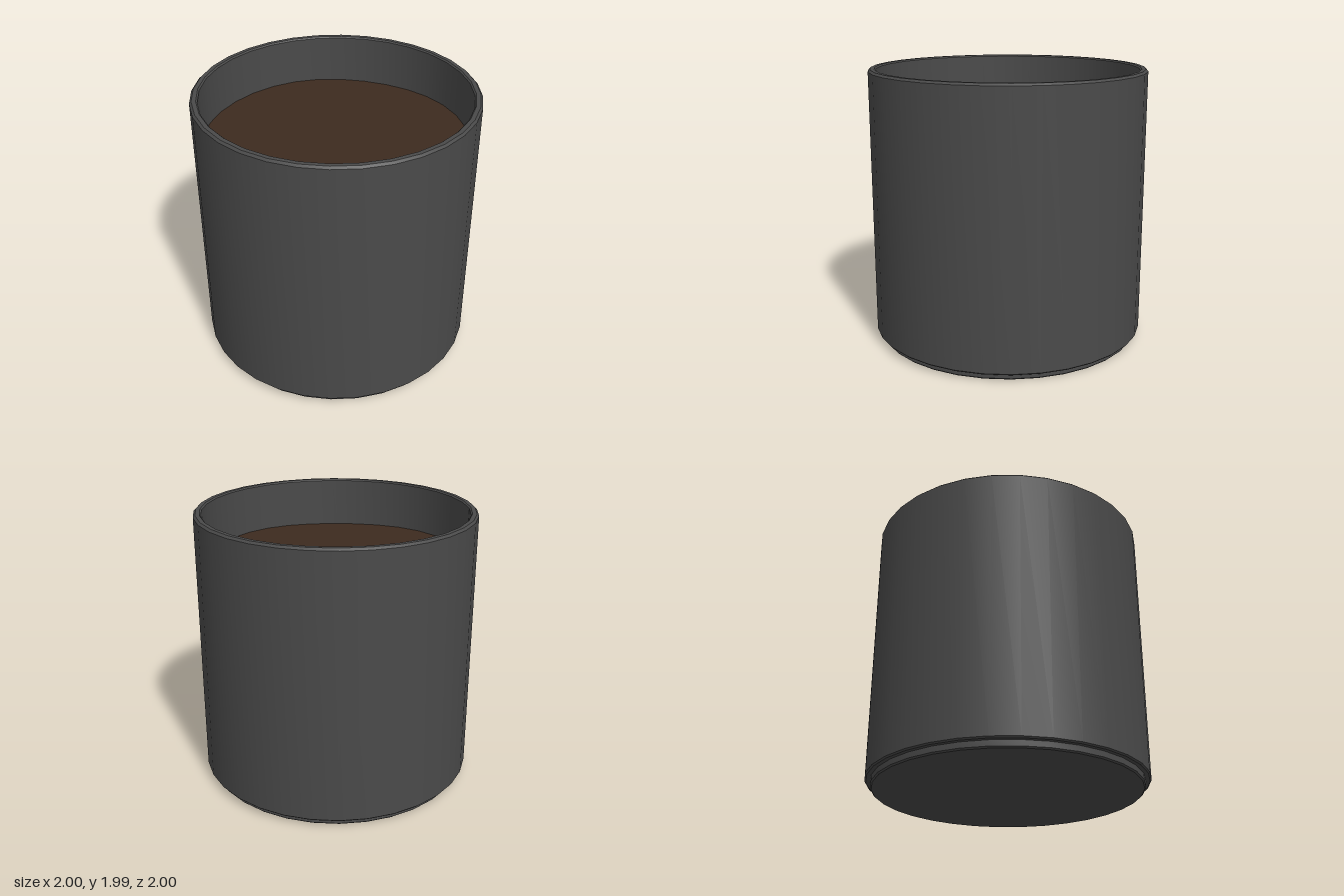
import * as THREE from 'three';
import { toCreasedNormals } from 'three/addons/utils/BufferGeometryUtils.js';

const SIDES = 32;
const SOIL_Y = 1.63;

// Solid of revolution with crisp bevels; the profile runs up the outside
function turned(profile) {
  return new THREE.LatheGeometry(profile.map(([r, y]) => new THREE.Vector2(r, y)), SIDES);
}

export function createModel() {
  const group = new THREE.Group();

  const potGrey = new THREE.MeshStandardMaterial({ color: 0x4a4a4a });
  potGrey.name = 'potGrey';
  const soilBrown = new THREE.MeshStandardMaterial({ color: 0x3d2b1f });
  soilBrown.name = 'soilBrown';

  // Pot: recessed foot, straight wall, bevelled rim, hollow inside
  const pot = new THREE.Mesh(toCreasedNormals(turned([
    [0, 0], [0.95, 0], [0.96, 0.01], [0.96, 0.05],
    [0.99, 0.05], [1, 0.06], [1, 1.975], [0.985, 1.99],
    [0.955, 1.99], [0.945, 1.98], [0.945, 0.12], [0, 0.12],
  ]), 0.5), potGrey);
  pot.name = 'pot';
  group.add(pot);

  // Soil: disc with very slight undulation
  const rings = [0.945, 0.8, 0.64, 0.48, 0.32, 0.16, 0];
  const soilGeometry = turned(rings.map((r) => [r, SOIL_Y]));
  const pos = soilGeometry.attributes.position;
  for (let i = 0; i < pos.count; i++) {
    const x = pos.getX(i), z = pos.getZ(i);
    pos.setY(i, SOIL_Y + 0.006 * Math.sin(4 * x + 1) * Math.cos(3.5 * z));
  }
  const soil = new THREE.Mesh(toCreasedNormals(soilGeometry, 0.8), soilBrown);
  soil.name = 'soil';
  group.add(soil);

  return group;
}
